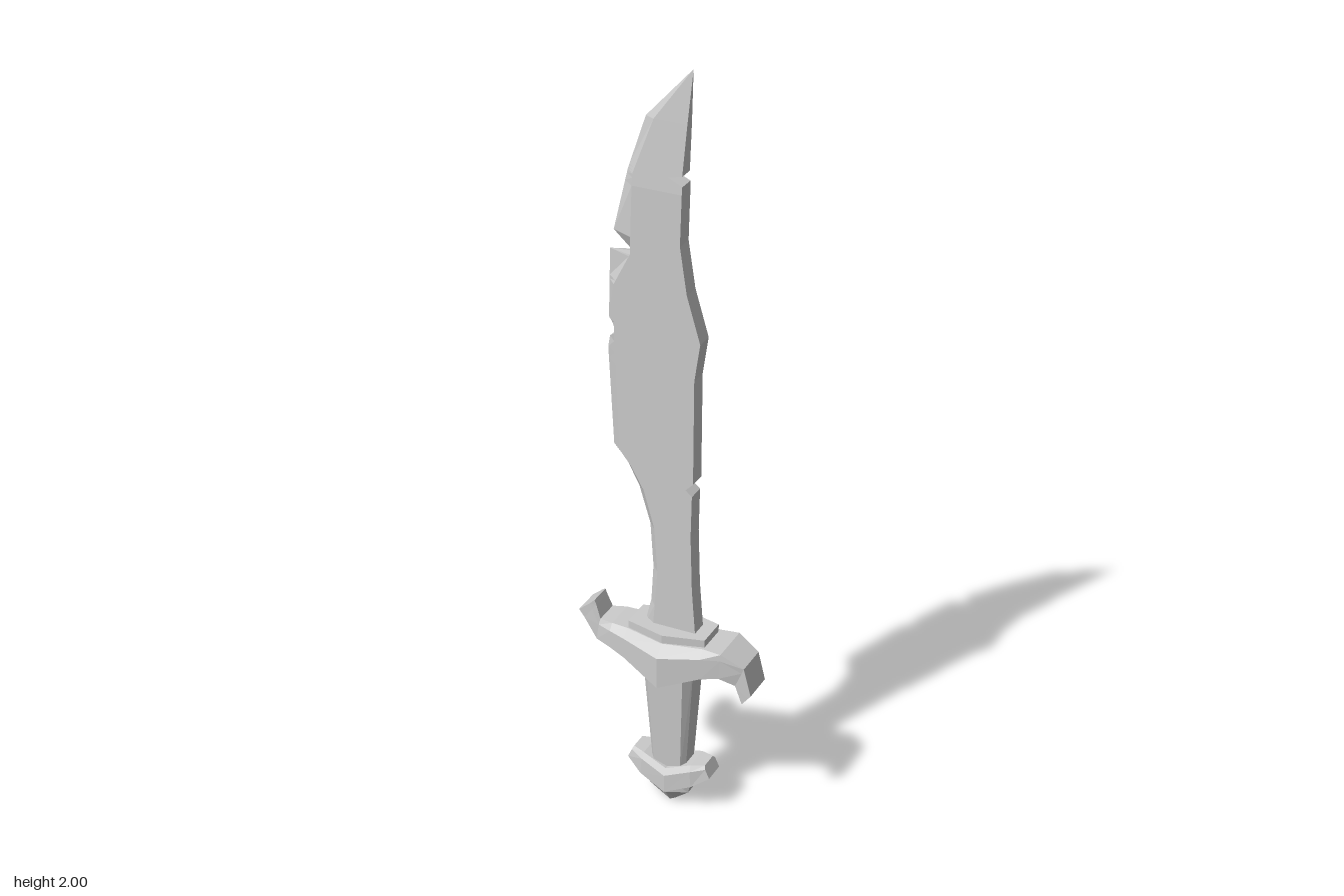
import * as THREE from 'three';

const material = new THREE.MeshStandardMaterial({ color: 0xcccccc, flatShading: true });

// Faceted solid through a list of equal-length rings of [x, y, z], capped at both ends
function loft(name, rings) {
  const tris = [];
  const n = rings[0].length;
  for (let i = 0; i < rings.length - 1; i++) {
    for (let j = 0; j < n; j++) {
      const k = (j + 1) % n;
      const a = rings[i][j], b = rings[i][k], c = rings[i + 1][k], d = rings[i + 1][j];
      tris.push([a, b, c], [a, c, d]);
    }
  }
  const first = rings[0], last = rings[rings.length - 1];
  for (let j = 1; j < n - 1; j++) {
    tris.push([first[0], first[j + 1], first[j]], [last[0], last[j], last[j + 1]]);
  }
  // Turn the faces outward if the enclosed volume comes out negative
  const v = tris.map(t => t.map(p => new THREE.Vector3(...p)));
  const volume = v.reduce((s, [a, b, c]) => s + a.dot(b.clone().cross(c)), 0);
  if (volume < 0) v.forEach(t => t.reverse());
  const geometry = new THREE.BufferGeometry().setFromPoints(v.flat());
  geometry.computeVertexNormals();
  const mesh = new THREE.Mesh(geometry, material);
  mesh.name = name;
  return mesh;
}

// Value at height y on a polyline of [y, value]
function at(line, y) {
  if (y <= line[0][0]) return line[0][1];
  for (let i = 1; i < line.length; i++) {
    const [y0, a] = line[i - 1], [y1, b] = line[i];
    if (y <= y1) return a + (b - a) * (y - y0) / (y1 - y0);
  }
  return line[line.length - 1][1];
}

// Blade: sharp edge at -x with a bevel, flat spine at +x, nicks in both
function blade() {
  const edge = [[0.5, -0.075], [0.58, -0.056], [0.68, -0.05], [0.8, -0.058], [0.9, -0.088], [0.96, -0.12],
    [1.0, -0.155], [1.26, -0.168], [1.29, -0.163], [1.31, -0.143], [1.34, -0.165], [1.52, -0.16],
    [1.525, -0.1], [1.57, -0.15], [1.73, -0.112], [1.87, -0.065], [2.0, 0.053]];
  const bevel = [[0.5, -0.042], [0.68, -0.028], [0.8, -0.036], [0.9, -0.064], [0.96, -0.098], [1.0, -0.13],
    [1.31, -0.141], [1.44, -0.14], [1.525, -0.097], [1.73, -0.09], [1.87, -0.04], [2.0, 0.053]];
  const spine = [[0.5, 0.077], [0.65, 0.066], [0.8, 0.062], [0.915, 0.065], [0.93, 0.048], [0.95, 0.068],
    [1.23, 0.07], [1.33, 0.085], [1.45, 0.05], [1.57, 0.032], [1.72, 0.037], [1.737, 0.0],
    [1.745, 0.036], [2.0, 0.054]];
  const half = [[0.5, 0.023], [1.7, 0.023], [1.87, 0.012], [2.0, 0.0]];
  const ys = [...new Set([edge, bevel, spine, half].flat().map(p => p[0]))].sort((a, b) => a - b);
  return loft('blade', ys.map(y => {
    const e = at(edge, y), b = at(bevel, y), s = at(spine, y), t = at(half, y);
    return [[e, y, 0], [b, y, t], [s, y, t], [s, y, -t], [b, y, -t]];
  }));
}

// Bar running along x; station: bottom x, y, top x, y, half depth below and on top
function bar(name, stations) {
  return loft(name, stations.map(([bx, by, tx, ty, zb, zt]) => {
    const sx = bx + (tx - bx) * 0.75, sy = by + (ty - by) * 0.75;
    return [[bx, by, zb], [sx, sy, zb], [tx, ty, zt], [tx, ty, -zt], [sx, sy, -zb], [bx, by, -zb]];
  }));
}

// Pointed hexagon at height y: half width, half depth at the ends, half depth in the middle
const hexagon = (y, w, ze, zm) => [[-w, ze], [0, zm], [w, ze], [w, -ze], [0, -zm], [-w, -ze]]
  .map(([x, z]) => [x + 0.005, y, z]);

// Chamfered rectangle at height y
const octagon = (y, w, d, cx, cz) => [[-w, cz], [-cx, d], [cx, d], [w, cz], [w, -cz], [cx, -d], [-cx, -d], [-w, -cz]]
  .map(([x, z]) => [x + 0.004, y, z]);

export function createModel() {
  const group = new THREE.Group();
  group.name = 'sword';

  group.add(blade());

  // Crossguard, hooked up on one side and down on the other
  group.add(bar('crossguard', [
    [-0.24, 0.52, -0.2, 0.553, 0.038, 0.03],
    [-0.225, 0.5, -0.195, 0.54, 0.038, 0.03],
    [-0.19, 0.447, -0.182, 0.505, 0.04, 0.034],
    [-0.145, 0.443, -0.145, 0.508, 0.056, 0.042],
    [-0.1, 0.432, -0.1, 0.507, 0.068, 0.045],
    [0.005, 0.39, 0.005, 0.505, 0.097, 0.069],
    [0.11, 0.43, 0.11, 0.507, 0.07, 0.05],
    [0.155, 0.438, 0.16, 0.508, 0.058, 0.056],
    [0.195, 0.42, 0.218, 0.475, 0.044, 0.044],
    [0.213, 0.37, 0.237, 0.4, 0.043, 0.043],
  ]));

  // Collar seating the blade
  group.add(loft('collar', [
    hexagon(0.49, 0.105, 0.041, 0.067),
    hexagon(0.527, 0.105, 0.041, 0.067),
  ]));

  // Tapered grip
  group.add(loft('grip', [
    octagon(0.1, 0.046, 0.035, 0.036, 0.022),
    octagon(0.45, 0.072, 0.053, 0.052, 0.03),
  ]));

  // Pommel: small winged bar with a faceted end cap
  group.add(bar('pommel', [
    [-0.11, 0.105, -0.095, 0.138, 0.03, 0.024],
    [-0.068, 0.075, -0.062, 0.135, 0.045, 0.035],
    [0.005, 0.045, 0.005, 0.112, 0.056, 0.045],
    [0.075, 0.075, 0.07, 0.135, 0.045, 0.035],
    [0.12, 0.105, 0.105, 0.138, 0.03, 0.024],
  ]));
  group.add(loft('pommelCap', [
    hexagon(0.085, 0.066, 0.035, 0.05),
    hexagon(0.04, 0.054, 0.025, 0.048),
    hexagon(0.0, 0.01, 0.01, 0.02),
  ]));

  return group;
}
